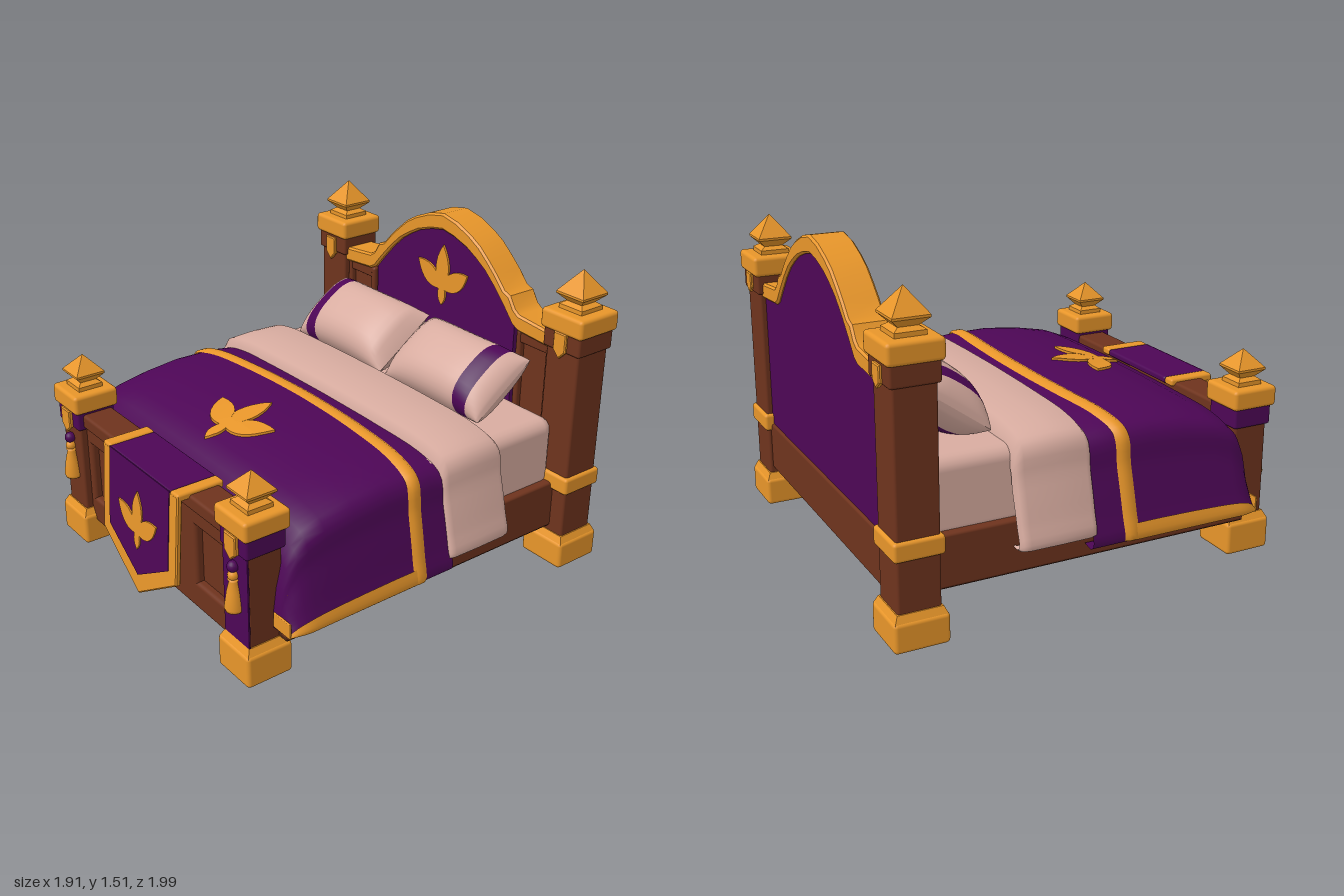
import * as THREE from 'three';
import { mergeGeometries, toCreasedNormals } from 'three/addons/utils/BufferGeometryUtils.js';
import { RoundedBoxGeometry } from 'three/addons/geometries/RoundedBoxGeometry.js';

const mat = (name, color, side = THREE.FrontSide) => {
  const m = new THREE.MeshStandardMaterial({ color, side });
  m.name = name;
  return m;
};
const gold = mat('gold', 0xe8962a, THREE.DoubleSide);
const purple = mat('purple cloth', 0x4d0656, THREE.DoubleSide);
const linen = mat('linen', 0xd8aca0, THREE.DoubleSide);
const wood = mat('wood', 0x6e331d);
const darkWood = mat('dark wood', 0x4c2617);

function add(parent, name, geometry, material, x = 0, y = 0, z = 0) {
  const m = new THREE.Mesh(geometry, material);
  m.name = name;
  m.position.set(x, y, z);
  parent.add(m);
  return m;
}

// Rounded block given by its extents
function block(parent, name, material, [x0, x1], [y0, y1], [z0, z1], r = 0.012) {
  const g = new RoundedBoxGeometry(x1 - x0, y1 - y0, z1 - z0, 2, r);
  return add(parent, name, g, material, (x0 + x1) / 2, (y0 + y1) / 2, (z0 + z1) / 2);
}

// Square turned piece: profile holds [half width, height]
function squareLathe(profile) {
  const pts = profile.map(([r, y]) => new THREE.Vector2(r * Math.SQRT2, y));
  const g = new THREE.LatheGeometry(pts, 4).rotateY(Math.PI / 4).toNonIndexed();
  g.computeVertexNormals();
  return g;
}

const polygon = (pts) => new THREE.Shape(pts.map(([x, y]) => new THREE.Vector2(x, y)));
const mirrored = (half) => [...half, ...half.filter(([x]) => x > 0).reverse().map(([x, y]) => [-x, y])];

// Extrusion whose total depth, bevel included, runs from z = 0 to z = depth
function slab(shape, depth, bevel = 0) {
  const g = new THREE.ExtrudeGeometry(shape, {
    depth: depth - 2 * bevel, curveSegments: 8, bevelEnabled: bevel > 0,
    bevelSize: bevel, bevelOffset: -bevel, bevelThickness: bevel, bevelSegments: 1,
  }).translate(0, 0, bevel);
  return toCreasedNormals(g, 0.5);
}

// Smooth surface from a point rule over a grid
function grid(nu, nv, rule) {
  const pos = [], idx = [];
  for (let i = 0; i <= nu; i++) for (let j = 0; j <= nv; j++) pos.push(...rule(i, j));
  for (let i = 0; i < nu; i++) for (let j = 0; j < nv; j++) {
    const a = i * (nv + 1) + j, b = a + nv + 1;
    idx.push(a, b, a + 1, b, b + 1, a + 1);
  }
  const g = new THREE.BufferGeometry();
  g.setAttribute('position', new THREE.Float32BufferAttribute(pos, 3));
  g.setIndex(idx);
  g.computeVertexNormals();
  return g;
}

// Three-leaf emblem, stem foot at the origin
function emblem(s) {
  const leaf = (len, w) => {
    const sh = new THREE.Shape();
    sh.moveTo(0, 0);
    sh.bezierCurveTo(w, len * 0.25, w * 1.2, len * 0.6, 0, len);
    sh.bezierCurveTo(-w * 1.2, len * 0.6, -w, len * 0.25, 0, 0);
    return slab(sh, 0.012);
  };
  const parts = [leaf(0.225, 0.055).translate(0, 0.085, 0), leaf(0.12, 0.032)];
  for (const k of [-1, 1]) parts.push(leaf(0.205, 0.058).rotateZ(k * 0.98).translate(-k * 0.006, 0.085, 0));
  return mergeGeometries(parts).scale(s, s, 1);
}

const shield = (w, h) => slab(polygon([[-w, 0], [-w, -h * 0.7], [0, -h], [w, -h * 0.7], [w, 0]]), 0.022, 0.005);

// Bed post with foot, cap and finial
function post(parent, name, x, z, o) {
  const p = new THREE.Group();
  p.name = name;
  p.position.set(x, 0, z);
  parent.add(p);
  const cube = (n, m, w, y0, y1, r) => block(p, n, m, [-w, w], [y0, y1], [-w, w], r);
  cube('foot', gold, o.foot, 0, o.footTop - 0.03, 0.018);
  add(p, 'footChamfer', squareLathe([[o.foot - 0.006, 0], [o.col + 0.005, 0.035], [0, 0.035]]), gold, 0, o.footTop - 0.037);
  cube('column', wood, o.col, o.footTop - 0.03, o.capY + 0.02);
  cube('collar', o.collarMat, o.col + 0.013, o.capY - 0.09, o.capY + 0.01);
  cube('cap', gold, o.foot, o.capY, o.capY + 0.095, 0.018);
  const f = o.finial;
  add(p, 'finial', squareLathe([[f * 0.85, 0], [f * 0.85, 0.025], [f * 0.55, 0.04], [f, 0.075], [f, 0.085], [0, o.finialH]]),
    gold, 0, o.capY + 0.09);
  return p;
}

// Bedding cross-section: half width and fraction of the drop
const drop = new THREE.CatmullRomCurve3([[0, 0], [0.4, 0.01], [0.7, 0.04], [0.83, 0.12], [0.868, 0.4], [0.91, 0.75],
  [0.93, 0.97], [0.905, 1], [0.86, 0.98]].map(([x, y]) => new THREE.Vector3(x, y, 0)));
function drape(s, top, bottom, o) {
  const p = drop.getPoint(Math.min(1, Math.abs(s)));
  return [Math.sign(s) * (p.x + o * Math.min(1, p.x / 0.8)), top + (bottom - top) * p.y + o * (1 - p.y)];
}

// Blanket height along its length, narrowing at the foot end
const ridge = [[-0.08, 0.765], [0, 0.78], [0.07, 0.787], [0.25, 0.79], [0.42, 0.77], [0.57, 0.738], [0.66, 0.7],
  [0.71, 0.65], [0.745, 0.57], [0.77, 0.47], [0.785, 0.36]];
function ridgeY(z) {
  const i = Math.max(1, ridge.findIndex(([rz]) => rz >= z));
  const [a, b] = [ridge[i - 1], ridge[i]];
  return a[1] + (b[1] - a[1]) * (z - a[0]) / (b[0] - a[0]);
}
const HEM = 0.245;
const blanketPoint = (s, z, o) => [...drape(s, ridgeY(z), HEM, o - 0.03 * Math.max(0, (z - 0.68) / 0.105) ** 2), z];

function pillow(parent, side) {
  const p = new THREE.Group();
  p.name = side > 0 ? 'leftPillow' : 'rightPillow';
  p.position.set(side * 0.347, 0.88, -0.59);
  p.rotation.x = -0.95;
  parent.add(p);
  const pow = (v, e) => Math.sign(v) * Math.abs(v) ** e;
  const part = (name, m, u0, u1) => add(p, name, grid(14, 32, (i, j) => {
    const u = u0 + (u1 - u0) * i / 14, a = j / 32 * Math.PI * 2;
    const h = 0.185 + 0.01 * u * u, t = 0.14 * Math.max(0, 1 - Math.abs(u) ** 3) ** 0.55;
    return [side * u * 0.33, h * pow(Math.cos(a), 0.75), t * pow(Math.sin(a), 0.9)];
  }), m);
  part('pillowInner', linen, -1, 0.53);
  part('pillowStripe', purple, 0.53, 0.77);
  part('pillowOuter', linen, 0.77, 1);
}

export function createModel() {
  const bed = new THREE.Group();
  bed.name = 'bed';

  // Posts
  for (const k of [-1, 1]) {
    const side = k > 0 ? 'Left' : 'Right';
    const back = post(bed, 'back' + side + 'Post', k * 0.834, -0.875,
      { foot: 0.123, footTop: 0.165, col: 0.096, capY: k > 0 ? 1.175 : 1.19, collarMat: wood, finial: 0.08, finialH: 0.19 });
    block(back, 'band', gold, [-0.112, 0.112], [0.39, 0.475], [-0.112, 0.112], 0.015);
    add(back, 'frontPendant', shield(0.037, 0.125), gold, 0, 1.18, 0.1);
    add(back, 'backPendant', shield(0.037, 0.1), gold, 0, 1.18, -0.1).rotation.y = Math.PI;

    const front = post(bed, 'front' + side + 'Post', k * 0.703, 0.823,
      { foot: 0.114, footTop: 0.185, col: 0.085, capY: 0.7, collarMat: purple, finial: 0.073, finialH: 0.165 });
    if (k > 0) block(front, 'postDrape', purple, [-0.09, 0.09], [0.18, 0.69], [0.081, 0.09], 0.003);
    add(front, 'tasselBracket', shield(0.042, 0.12), gold, 0, 0.7, 0.093);

    // Tassel
    const lathe = (pts) => new THREE.LatheGeometry(pts.map(([r, y]) => new THREE.Vector2(r, y)), 14);
    add(front, 'tasselBead', new THREE.SphereGeometry(0.026, 14, 10), purple, 0, 0.545, 0.1);
    add(front, 'tasselKnot', new THREE.SphereGeometry(0.024, 14, 10), gold, 0, 0.503, 0.1);
    add(front, 'tasselSkirt', lathe([[0, 0], [0.038, 0], [0.043, 0.015], [0.032, 0.09], [0.02, 0.14], [0.026, 0.15], [0, 0.165]]),
      gold, 0, 0.335, 0.098);
  }

  // Headboard
  const outer = [[0.75, 1.14], [0.54, 1.16], [0.51, 1.18], [0.475, 1.235], [0.435, 1.25], [0.38, 1.31], [0.32, 1.365],
    [0.26, 1.415], [0.195, 1.452], [0.1, 1.492], [0, 1.512]];
  const inner = [[0.75, 1.065], [0.54, 1.08], [0.5, 1.1], [0.44, 1.17], [0.37, 1.245], [0.3, 1.308], [0.235, 1.35],
    [0.17, 1.385], [0.08, 1.415], [0, 1.43]];
  const flip = (pts) => pts.map(([x, y]) => [-x, y]);
  const rail = [...outer, ...flip(outer).reverse().slice(1), ...flip(inner), ...inner.slice(0, -1).reverse()];
  add(bed, 'headboardCrest', slab(polygon(rail), 0.168, 0.01), gold, 0, 0, -0.958);
  const raised = inner.map(([x, y]) => [x, y + 0.02]);
  add(bed, 'headboardBack', slab(polygon(mirrored([[0.75, 0.4], ...raised])), 0.07), purple, 0, 0, -0.943);
  add(bed, 'headboardFront', slab(polygon(mirrored([[0.75, 0.3], ...raised])), 0.04), wood, 0, 0, -0.875);
  add(bed, 'headboardPanel', slab(polygon(mirrored([[0.5, 0.5], ...raised.slice(2)])), 0.025), purple, 0, 0, -0.838);
  for (const k of [-1, 1]) {
    const x = k * 0.63;
    block(bed, 'headboardStile', wood, [x - 0.11, x - 0.08], [0.5, 1.08], [-0.85, -0.805]);
    block(bed, 'headboardStile', wood, [x + 0.08, x + 0.11], [0.5, 1.08], [-0.85, -0.805]);
    block(bed, 'headboardTrim', wood, [x - 0.1, x + 0.1], [1.02, 1.08], [-0.85, -0.81]);
  }
  add(bed, 'headboardEmblem', emblem(1), gold, 0, 1.04, -0.815);
  block(bed, 'headRail', wood, [-0.76, 0.76], [0.187, 0.425], [-0.955, -0.8]);

  // Frame and underside
  for (const k of [-1, 1]) block(bed, 'sideRail', wood, [k * 0.825 - 0.027, k * 0.825 + 0.027], [0.187, 0.425], [-0.8, 0.76]);
  block(bed, 'underside', darkWood, [-0.845, 0.845], [0.183, 0.25], [-0.92, 0.76], 0.003);

  // Footboard with two sunken panels
  block(bed, 'footboardCore', wood, [-0.64, 0.64], [0.11, 0.64], [0.75, 0.835]);
  block(bed, 'footboardTopRail', wood, [-0.64, 0.64], [0.62, 0.69], [0.735, 0.892], 0.015);
  block(bed, 'footboardUpperRail', wood, [-0.64, 0.64], [0.535, 0.63], [0.8, 0.873], 0.018);
  block(bed, 'footboardLowerRail', wood, [-0.64, 0.64], [0.11, 0.245], [0.8, 0.873], 0.018);
  for (const [x0, x1] of [[-0.64, -0.585], [-0.335, 0.335], [0.585, 0.64]])
    block(bed, 'footboardStile', wood, [x0, x1], [0.13, 0.62], [0.8, 0.873], 0.018);

  // Mattress and folded sheet
  block(bed, 'mattress', linen, [-0.815, 0.815], [0.38, 0.737], [-0.8, 0.4], 0.06);
  const fold = [[-0.06, 0.74, -0.03], [-0.065, 0.785, 0], [-0.09, 0.803, 0.01], [-0.23, 0.806, 0.012],
    [-0.38, 0.803, 0.01], [-0.41, 0.785, 0], [-0.417, 0.74, -0.03]];
  add(bed, 'sheetFold', grid(6, 64, (i, j) => {
    const [z, t, o] = fold[i];
    return [...drape(j / 32 - 1, t, 0.305, o), z];
  }), linen);

  // Blanket, closed at the foot end, with gold stripe and hem
  add(bed, 'blanket', grid(ridge.length, 64, (i, j) => {
    const s = j / 32 - 1;
    return i < ridge.length ? blanketPoint(s, ridge[i][0], 0) : [...drape(s, HEM + 0.02, HEM, -0.03), 0.786];
  }), purple);
  add(bed, 'blanketStripe', grid(4, 64, (i, j) => {
    const s = (j / 32 - 1) * 0.76, [x] = drape(s, 1, 0, 0);
    return blanketPoint(s, 0.075 * (x / 0.93) ** 2 + 0.07 * i / 4, i % 4 ? 0.012 : 0.002);
  }), gold);
  for (const k of [-1, 1]) {
    add(bed, 'blanketHem', grid(24, 6, (i, j) =>
      blanketPoint(k * (0.67 + 0.12 * j / 6), 0.1 + 0.685 * i / 24, 0.009)), gold);
    block(bed, 'blanketCornerHem', gold, [k * 0.85 - 0.058, k * 0.85 + 0.058], [0.242, 0.315], [0.781, 0.79], 0.003);
  }
  const crest = emblem(1.2).rotateX(-Math.PI / 2).translate(0, 0, 0.6);
  const cp = crest.attributes.position;
  for (let i = 0; i < cp.count; i++) cp.setY(i, cp.getY(i) + ridgeY(cp.getZ(i)) - 0.05 * cp.getX(i) ** 2);
  crest.computeVertexNormals();
  add(bed, 'blanketEmblem', crest, gold);

  // Pillows
  pillow(bed, 1);
  pillow(bed, -1);

  // Banner over the footboard
  const banner = new THREE.Group();
  banner.name = 'banner';
  banner.position.set(0.013, 0.695, 0.922);
  banner.rotation.x = -0.07;
  bed.add(banner);
  const pennant = (w, side, tip, y = 0) => polygon([[-w, y], [-w, side], [0, tip], [w, side], [w, y]]);
  add(banner, 'bannerBorder', slab(pennant(0.32, -0.43, -0.632), 0.026, 0.006), gold);
  add(banner, 'bannerCloth', slab(pennant(0.257, -0.385, -0.535, 0.003), 0.009), purple, 0, 0, 0.02);
  add(banner, 'bannerEmblem', emblem(0.93), gold, 0, -0.4, 0.024);
  block(bed, 'bannerTop', purple, [-0.245, 0.271], [0.67, 0.703], [0.715, 0.95], 0.012);
  for (const k of [-1, 1]) block(bed, 'bannerTopBorder', gold,
    [0.013 + k * 0.289 - 0.032, 0.013 + k * 0.289 + 0.032], [0.67, 0.706], [0.715, 0.948], 0.012);

  return bed;
}
